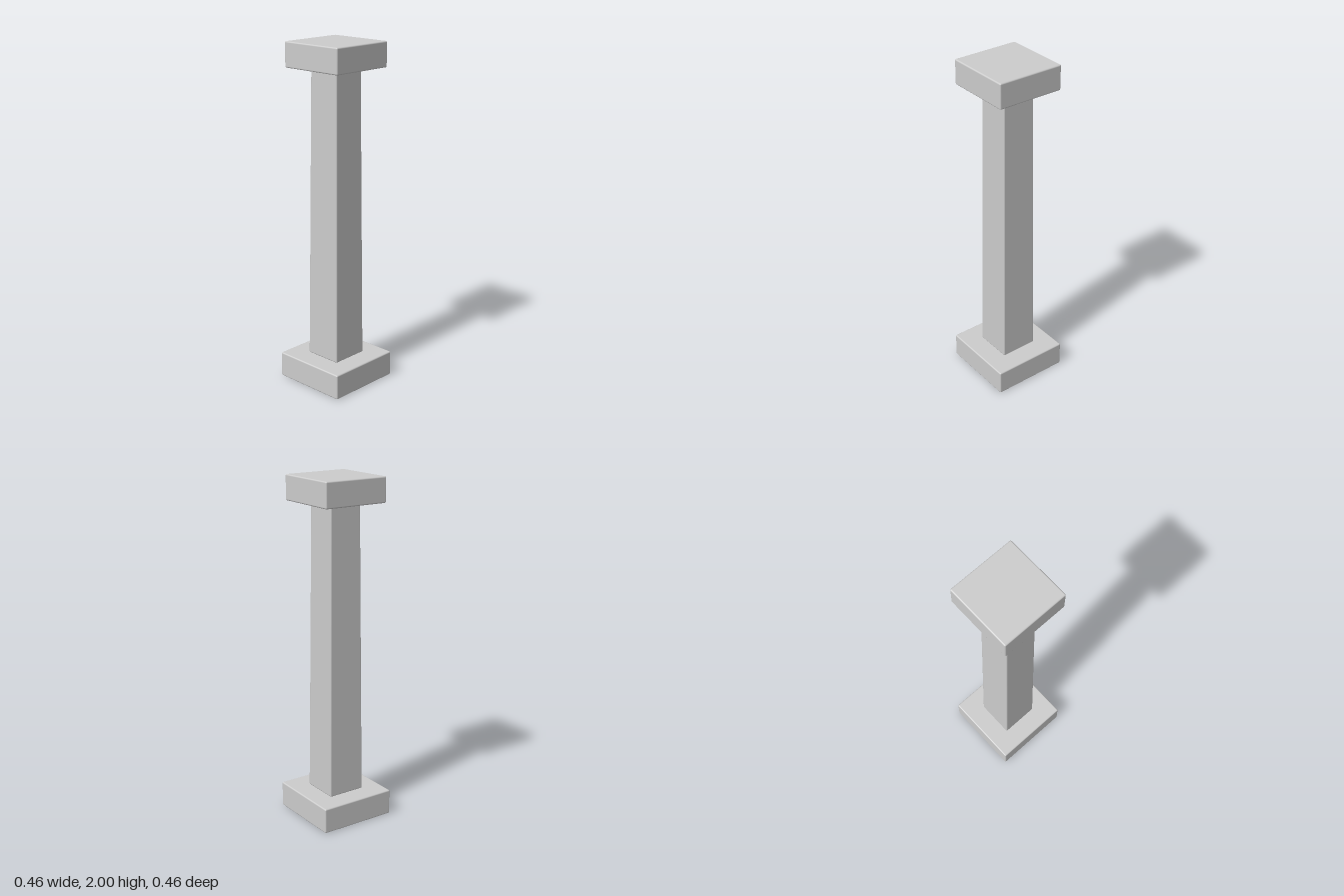
import * as THREE from 'three';
import { RoundedBoxGeometry } from 'three/addons/geometries/RoundedBoxGeometry.js';

const BEVEL = 0.008;

// Square block with softened edges, tapering from bottomWidth to topWidth
function block(name, bottomWidth, topWidth, y0, y1, material) {
  const height = y1 - y0;
  const geometry = new RoundedBoxGeometry(bottomWidth, height, bottomWidth, 2, BEVEL);
  const pos = geometry.attributes.position;
  for (let i = 0; i < pos.count; i++) {
    const t = pos.getY(i) / height + 0.5;
    const s = THREE.MathUtils.lerp(1, topWidth / bottomWidth, t);
    pos.setX(i, pos.getX(i) * s);
    pos.setZ(i, pos.getZ(i) * s);
  }
  const mesh = new THREE.Mesh(geometry, material);
  mesh.name = name;
  mesh.position.y = (y0 + y1) / 2;
  return mesh;
}

export function createModel() {
  const group = new THREE.Group();
  group.name = 'column';
  const stone = new THREE.MeshStandardMaterial({ color: 0xcccccc });
  stone.name = 'pale grey stone';

  group.add(
    block('base', 0.464, 0.464, 0, 0.15, stone),
    block('shaft', 0.228, 0.196, 0.15, 1.855, stone),
    block('capital', 0.398, 0.398, 1.855, 2, stone)
  );
  return group;
}
